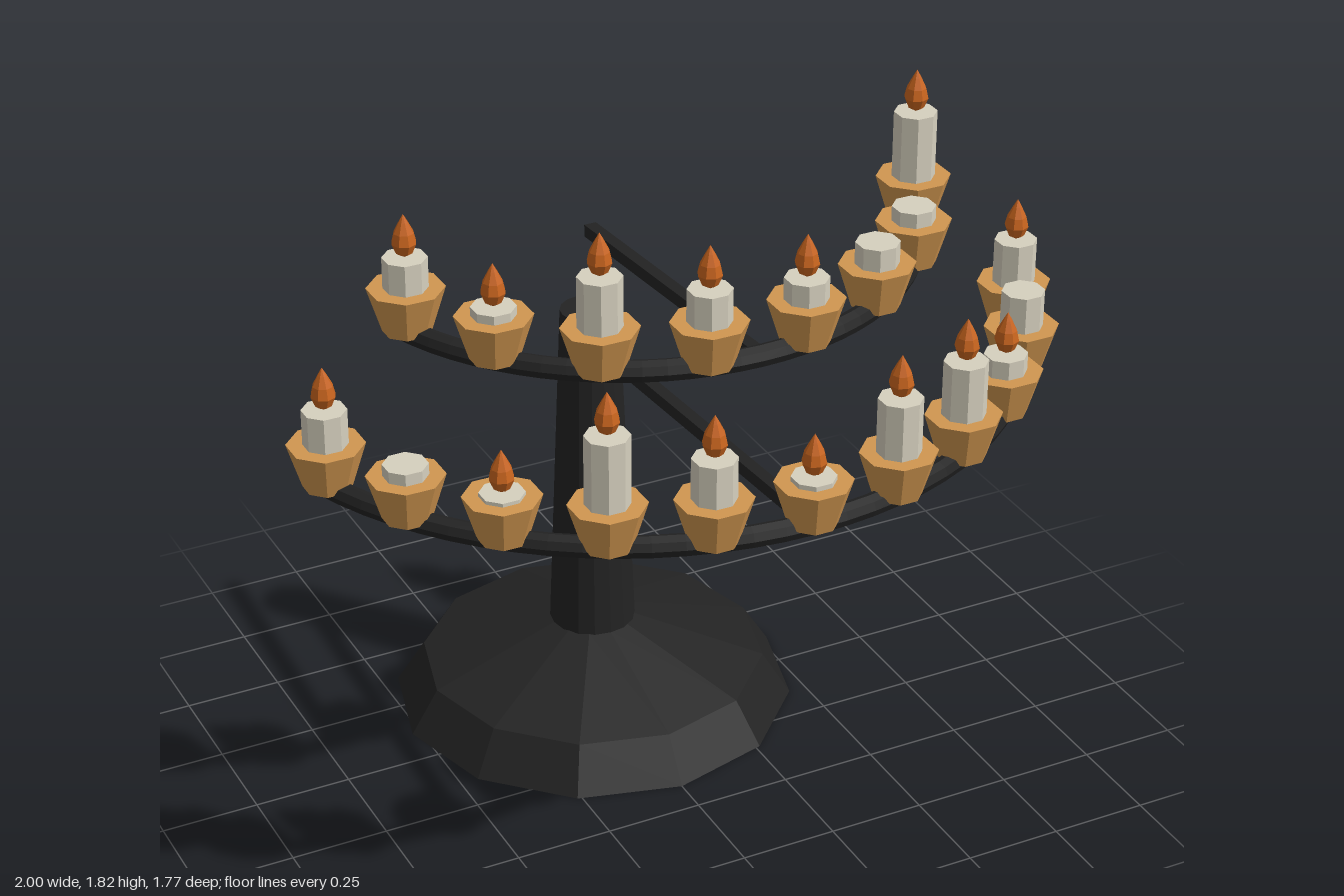
import * as THREE from 'three';

const mat = (name, color) => {
  const m = new THREE.MeshStandardMaterial({ color });
  m.name = name;
  m.flatShading = true;
  return m;
};

export function createModel() {
  const iron = mat('black iron', 0x232323);
  const wood = mat('wooden cup', 0xd09650);
  const wax = mat('candle wax', 0xd6d0be);
  const fire = mat('flame orange', 0xc8641e);

  const model = new THREE.Group();
  model.name = 'candleStand';
  const add = (parent, name, geometry, material, x = 0, y = 0, z = 0) => {
    const mesh = new THREE.Mesh(geometry, material);
    mesh.name = name;
    mesh.position.set(x, y, z);
    parent.add(mesh);
    return mesh;
  };
  const lathe = (points, sides) =>
    new THREE.LatheGeometry(points.map(([r, y]) => new THREE.Vector2(r, y)), sides);

  // Twelve-sided foot and tapering column
  const footZ = -0.365;
  add(model, 'foot', lathe([[0, 0], [0.523, 0], [0.45, 0.115], [0.11, 0.23], [0, 0.23]], 12), iron, 0, 0, footZ);
  add(model, 'column', new THREE.CylinderGeometry(0.075, 0.112, 0.91, 16), iron, 0, 0.675, footZ);

  // Sloping arms that carry the curved rails
  const arm = (name, y0, z0, y1, z1) => {
    const length = Math.hypot(z1 - z0, y1 - y0);
    const bar = add(model, name, new THREE.BoxGeometry(0.032, 0.032, length), iron, 0, (y0 + y1) / 2, (z0 + z1) / 2);
    bar.rotation.x = -Math.atan2(y1 - y0, z1 - z0);
  };
  arm('lowerArm', 1.05, -0.36, 1.125, 0.7);
  arm('upperArm', 1.355, -0.355, 1.43, 0.55);

  // Shared octagonal candle parts, with a flat side to the front
  const turn = Math.PI / 8;
  const cupGeo = new THREE.CylinderGeometry(0.092, 0.058, 0.11, 8).rotateY(turn);
  const flameGeo = lathe([[0, 0], [0.02, 0.012], [0.03, 0.036], [0.024, 0.062], [0.011, 0.088], [0, 0.108]], 8);

  // A curved rail with evenly spaced candles, listed from right (-x) to left (+x): [top, lit]
  const railZ = -0.175;
  const tier = (name, radius, railY, overhang, candles) => {
    const group = new THREE.Group();
    group.name = name;
    model.add(group);

    const half = THREE.MathUtils.degToRad(70 + overhang);
    const railGeo = new THREE.TorusGeometry(radius, 0.027, 8, 32, 2 * half)
      .rotateZ(Math.PI / 2 - half)
      .rotateX(Math.PI / 2);
    add(group, 'rail', railGeo, iron, 0, railY, railZ);
    // Caps on the rail ends
    for (const s of [-1, 1]) {
      const cap = add(group, 'railEnd', new THREE.CircleGeometry(0.027, 8), iron,
        s * radius * Math.sin(half), railY, railZ + radius * Math.cos(half));
      cap.rotation.y = s * (half + Math.PI / 2);
    }

    candles.forEach(([top, lit], i) => {
      const a = THREE.MathUtils.degToRad(-70 + (140 * i) / (candles.length - 1));
      const x = radius * Math.sin(a);
      const z = railZ + radius * Math.cos(a);
      const cupBase = railY + 0.003;
      add(group, 'cup', cupGeo, wood, x, cupBase + 0.055, z);
      const height = top - (cupBase + 0.05);
      const candleGeo = new THREE.CylinderGeometry(0.053, 0.053, height, 8).rotateY(turn);
      add(group, 'candle', candleGeo, wax, x, top - height / 2, z);
      if (lit) add(group, 'flame', flameGeo, fire, x, top, z);
    });
  };

  tier('lowerTier', 0.974, 1.128, 1.5, [
    [1.33, true], [1.27, false], [1.25, true], [1.415, true], [1.345, true], [1.253, true],
    [1.38, true], [1.38, true], [1.287, true], [1.335, false], [1.355, true],
  ]);
  tier('upperTier', 0.711, 1.43, 2, [
    [1.62, true], [1.565, true], [1.67, true], [1.625, true],
    [1.598, true], [1.598, false], [1.58, false], [1.712, true],
  ]);

  return model;
}
